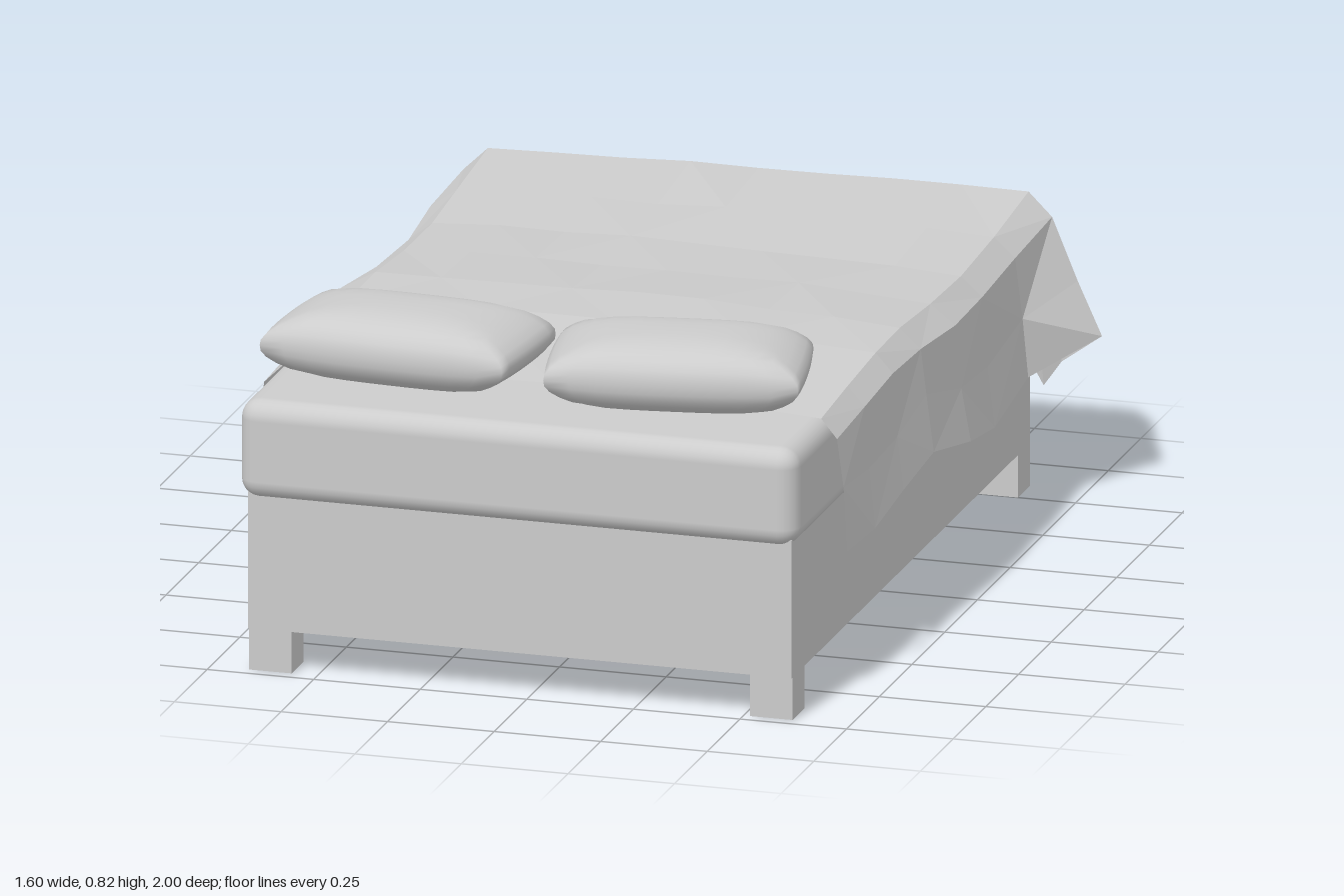
import * as THREE from 'three';
import { mergeVertices } from 'three/addons/utils/BufferGeometryUtils.js';
import { RoundedBoxGeometry } from 'three/addons/geometries/RoundedBoxGeometry.js';

const V = (x, y, z) => new THREE.Vector3(x, y, z);
const grey = new THREE.MeshStandardMaterial({ color: 0xcccccc, side: THREE.DoubleSide });
grey.name = 'plainGrey';

function add(group, name, geometry, x = 0, y = 0, z = 0) {
  const mesh = new THREE.Mesh(geometry, grey);
  mesh.name = name;
  mesh.position.set(x, y, z);
  group.add(mesh);
  return mesh;
}

// small repeatable offset in -1..1
const jitter = (a, b) => {
  const s = Math.sin(a * 12.99 + b * 78.23) * 4375.85;
  return (s - Math.floor(s)) * 2 - 1;
};

// faceted surface through rows of points
function surface(rows) {
  const pos = [];
  for (let r = 0; r + 1 < rows.length; r++)
    for (let c = 0; c + 1 < rows[r].length; c++) {
      const a = rows[r][c], b = rows[r][c + 1], d = rows[r + 1][c], e = rows[r + 1][c + 1];
      const tris = (r + c) % 2 ? [a, b, d, b, e, d] : [a, b, e, a, e, d];
      for (const p of tris) pos.push(p.x, p.y, p.z);
    }
  const g = new THREE.BufferGeometry();
  g.setAttribute('position', new THREE.Float32BufferAttribute(pos, 3));
  g.computeVertexNormals();
  return g;
}

// soft cushion over four plan corners [x, z]: back-left, back-right, front-left, front-right in x order
function pillow(corners) {
  let g = new THREE.BoxGeometry(2, 2, 2, 10, 8, 8);
  g.deleteAttribute('uv');
  g.deleteAttribute('normal');
  g = mergeVertices(g);
  const p = g.attributes.position, n = 2.8;
  for (let i = 0; i < p.count; i++) {
    let u = p.getX(i), v = p.getY(i), w = p.getZ(i);
    const r = Math.max(Math.abs(u), Math.abs(w));
    const s = 1 / Math.pow(Math.pow(r, n) + Math.pow(Math.abs(v), n), 1 / n);
    u *= s; v *= s; w *= s;
    // thinner toward the ends, barrel-shaped outline
    const y = 0.733 + 0.087 * v * (1 - 0.3 * u ** 4) * (1 - 0.15 * w ** 4);
    const bu = u * (1 + 0.02 * (1 - w * w)), bw = w * (1 + 0.1 * (1 - u * u));
    const mix = (k) => {
      const back = THREE.MathUtils.lerp(corners[0][k], corners[1][k], (bu + 1) / 2);
      const front = THREE.MathUtils.lerp(corners[2][k], corners[3][k], (bu + 1) / 2);
      return THREE.MathUtils.lerp(back, front, (bw + 1) / 2);
    };
    p.setXYZ(i, mix(0), y, mix(1));
  }
  g.computeVertexNormals();
  return g;
}

// height of the wrinkled blanket top
const ridge = [[0.77, 0.67], [0.55, 0.685], [0.33, 0.707], [0.17, 0.703], [-0.08, 0.682], [-0.33, 0.668], [-0.55, 0.675], [-0.9, 0.69]];
function topHeight(x, z) {
  let h = ridge[0][1];
  for (let i = 0; i + 1 < ridge.length; i++) {
    const [z0, h0] = ridge[i], [z1, h1] = ridge[i + 1];
    if (z <= z0 && z >= z1) h = h0 + (h1 - h0) * (z0 - z) / (z0 - z1);
  }
  const edge = Math.min(1, Math.abs(x + 0.1) / 0.7);
  return h - 0.02 * edge ** 3 * (z > -0.7 ? 1 : 0.4) + 0.004 * jitter(x, z);
}

function blanket(group) {
  // side edges, front to back: rim x, z, hem x, hem y
  const left = [[-0.64, 0.77, -0.715, 0.34], [-0.62, 0.57, -0.72, 0.335], [-0.61, 0.37, -0.735, 0.37], [-0.61, 0.17, -0.74, 0.395],
    [-0.62, -0.08, -0.725, 0.35], [-0.63, -0.33, -0.72, 0.3], [-0.64, -0.55, -0.74, 0.33]];
  const right = [[0.62, 0.77, 0.68, 0.34], [0.62, 0.57, 0.685, 0.335], [0.625, 0.37, 0.69, 0.365], [0.62, 0.17, 0.7, 0.395],
    [0.615, -0.08, 0.71, 0.345], [0.61, -0.33, 0.69, 0.3], [0.605, -0.6, 0.685, 0.335]];
  // gathered corner folds: hem points around each back corner
  const leftFold = [[-0.8, 0.355, -0.73], [-0.7, 0.3, -0.85], [-0.67, 0.21, -0.92], [-0.58, 0.36, -0.98], [-0.57, 0.4, -0.9]];
  const rightFold = [[0.5, 0.4, -0.93], [0.5, 0.36, -1.0], [0.62, 0.21, -0.93], [0.69, 0.3, -0.84], [0.8, 0.385, -0.79]];
  const cols = 8;

  // top sheet
  const ends = left.map((l, i) => [l[0], l[1], right[i][0], right[i][1]]);
  ends.push([-0.65, -0.82, 0.6, -0.88]);
  const top = ends.map(([x0, z0, x1, z1]) => Array.from({ length: cols + 1 }, (_, c) => {
    const t = c / cols, x = x0 + (x1 - x0) * t, z = z0 + (z1 - z0) * t;
    return V(x, topHeight(x, z), z);
  }));
  add(group, 'blanketTop', surface(top));

  // hanging skirt: left side, fold, back, fold, right side
  const rim = [], hem = [], spread = [];
  const station = (r, h, s) => { rim.push(r); hem.push(h); spread.push(s); };
  const last = top[top.length - 1];
  left.forEach((l, i) => station(top[i][0], V(l[2], l[3], l[1]), 0.62));
  leftFold.forEach((h) => station(last[0], V(...h), 0.32));
  for (let c = 1; c < cols; c++)
    station(last[c], V(last[c].x, 0.39 + 0.03 * jitter(c, 3), last[c].z - 0.06), 0.62);
  rightFold.forEach((h) => station(last[cols], V(...h), 0.32));
  for (let i = right.length - 1; i >= 0; i--)
    station(top[i][cols], V(right[i][2], right[i][3], right[i][1]), 0.62);

  const shoulder = rim.map((r, i) => r.clone().lerp(hem[i], spread[i]).setY(r.y - 0.045));
  const middle = shoulder.map((s, i) => {
    const m = s.clone().lerp(hem[i], 0.5), k = 1 + 0.008 * jitter(i, 7);
    return V(m.x * k, m.y + 0.02 * jitter(i, 5), m.z);
  });
  add(group, 'blanketSkirt', surface([rim, shoulder, middle, hem]));
}

export function createModel() {
  const bed = new THREE.Group();
  bed.name = 'bed';

  // base and feet
  add(bed, 'bedFrame', new THREE.BoxGeometry(1.275, 0.325, 1.82), -0.0225, 0.2625, 0.07);
  for (const x of [-0.61, 0.565])
    for (const z of [0.927, -0.795])
      add(bed, 'foot', new THREE.BoxGeometry(0.1, 0.1, 0.09), x, 0.05, z);

  // mattress
  add(bed, 'mattress', new RoundedBoxGeometry(1.31, 0.232, 1.83, 3, 0.045), -0.025, 0.522, 0.085);

  blanket(bed);

  // pillows
  add(bed, 'rightPillow', pillow([[-0.64, 0.57], [-0.055, 0.6], [-0.665, 0.875], [-0.085, 0.915]]));
  add(bed, 'leftPillow', pillow([[-0.035, 0.63], [0.53, 0.535], [0.02, 0.94], [0.59, 0.85]]));
  return bed;
}
